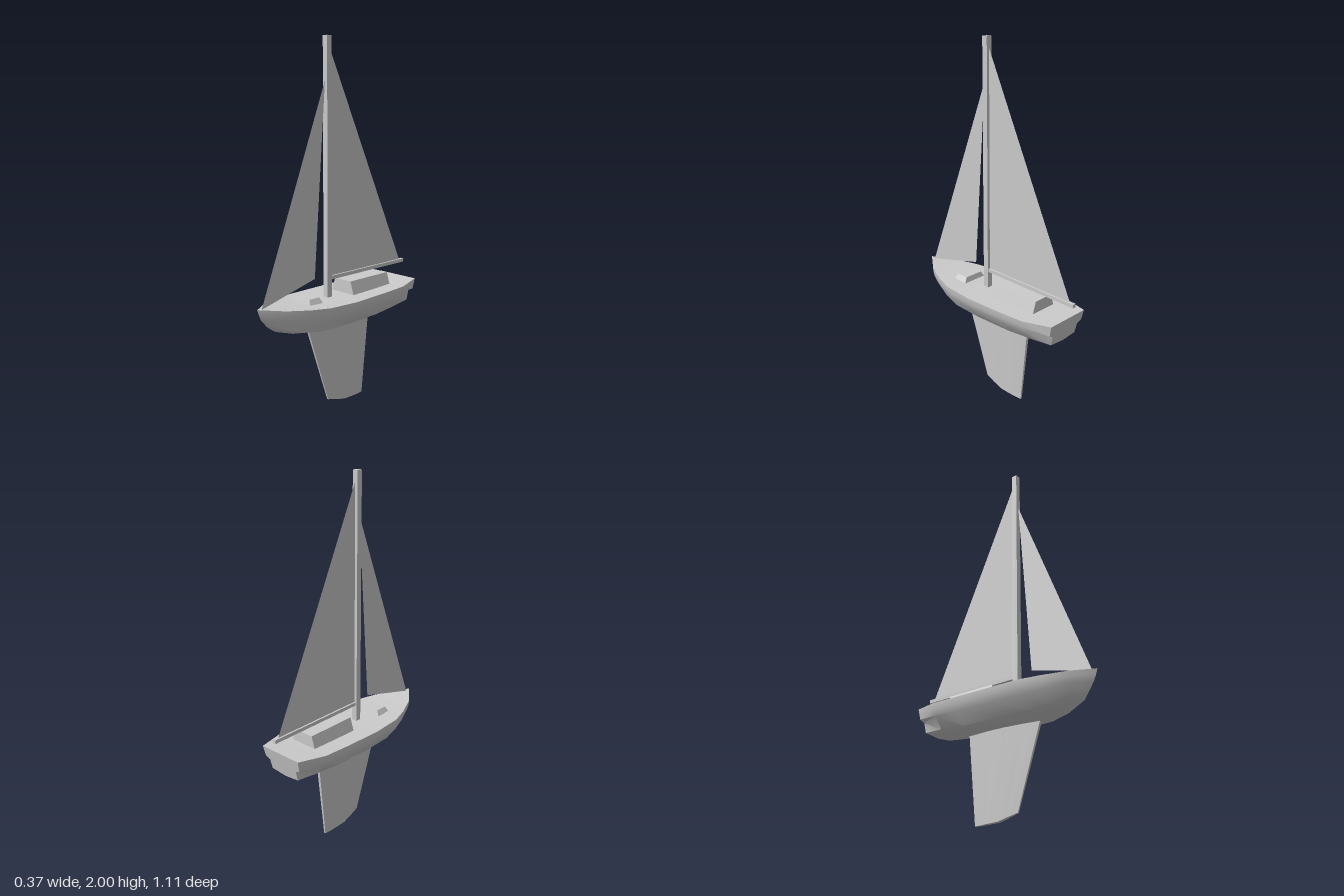
import * as THREE from 'three';
import { mergeGeometries, toCreasedNormals } from 'three/addons/utils/BufferGeometryUtils.js';

// Surface through rows of [x, y, z] points; it faces (row step) x (column step).
function surface(rows) {
  const n = rows[0].length;
  const index = [];
  for (let i = 0; i < rows.length - 1; i++) {
    for (let j = 0; j < n - 1; j++) {
      const a = i * n + j, b = a + n;
      index.push(a, b, a + 1, a + 1, b, b + 1);
    }
  }
  const g = new THREE.BufferGeometry();
  g.setAttribute('position', new THREE.Float32BufferAttribute(rows.flat(2), 3));
  g.setIndex(index);
  return g;
}

const mirrorX = ([x, y, z]) => [-x, y, z];
const smooth = (parts, angle) => toCreasedNormals(mergeGeometries(parts), angle);

// Box standing on y0 whose top is narrowed by the factors kx and kz.
function taperedBox(w, h, d, kx, kz, y0, z) {
  const g = new THREE.BoxGeometry(w, h, d);
  const p = g.attributes.position;
  for (let i = 0; i < p.count; i++) {
    if (p.getY(i) > 0) p.setXYZ(i, p.getX(i) * kx, p.getY(i), p.getZ(i) * kz);
  }
  g.translate(0, y0 + h / 2, z);
  g.computeVertexNormals();
  return g;
}

function hullGeometry() {
  // Stations: z, half width, sheer height, keel height
  const stations = [
    [-0.36, 0.175, 0.635, 0.48],
    [-0.2, 0.181, 0.63, 0.464],
    [0.03, 0.186, 0.626, 0.459],
    [0.21, 0.175, 0.629, 0.46],
    [0.32, 0.142, 0.634, 0.476],
    [0.44, 0.088, 0.643, 0.515],
  ];
  // Section from sheer to keel: width fraction, depth fraction
  const section = [[1, 0], [0.98, 0.2], [0.89, 0.42], [0.62, 0.83], [0, 1]];
  const halves = stations.map(([z, w, top, keel]) =>
    section.map(([f, t]) => [w * f, top + (keel - top) * t, z]));

  // Raked, stepped transom and raked stem close the ends
  const transom = [
    [0.13, 0.645, -0.517], [0.125, 0.585, -0.504], [0.097, 0.572, -0.501],
    [0.094, 0.515, -0.488], [0, 0.505, -0.486],
  ];
  const stem = [
    [0, 0.655, 0.553], [0, 0.63, 0.545], [0, 0.595, 0.53], [0, 0.552, 0.492], [0, 0.53, 0.462],
  ];
  halves.unshift(transom);
  halves.push(stem);

  const skin = halves.map(h => [...h, ...h.slice(0, -1).reverse().map(mirrorX)]);
  const deck = halves.map(h => [mirrorX(h[0]), h[0]]);
  const stern = transom.map(p => [p, mirrorX(p)]);
  return smooth([surface(skin), surface(deck), surface(stern)], 0.7);
}

function keelGeometry() {
  // Chord fraction from leading to trailing edge, thickness fraction, tip height
  const chord = [[0, 0.3, 0.035], [0.22, 0.72, 0.02], [0.44, 1, 0.005], [0.7, 0.9, 0.002], [0.88, 0.65, 0], [1, 0.35, 0]];
  const level = (lead, trail, half, height) =>
    chord.map(([u, t, tip]) => [half * t, height ?? tip, lead + (trail - lead) * u]);
  const root = level(0.22, -0.247, 0.026, 0.48);
  const tip = level(0.07, -0.2, 0.014);
  const ring = side => [...side, ...side.map(mirrorX).reverse(), side[0]];
  return smooth([surface([ring(root), ring(tip)]), surface(tip.map(p => [mirrorX(p), p]))], 0.6);
}

// Flat sail in the centre plane from three [z, y] corners
function sailGeometry(corners) {
  const g = new THREE.BufferGeometry();
  g.setAttribute('position', new THREE.Float32BufferAttribute(corners.flatMap(([z, y]) => [0, y, z]), 3));
  g.setIndex([0, 1, 2]);
  g.computeVertexNormals();
  return g;
}

export function createModel() {
  const model = new THREE.Group();
  model.name = 'sailboat';
  const grey = new THREE.MeshStandardMaterial({ color: 0xcccccc });
  const cloth = new THREE.MeshStandardMaterial({ color: 0xcccccc, side: THREE.DoubleSide });
  const add = (name, geometry, material = grey) => {
    const mesh = new THREE.Mesh(geometry, material);
    mesh.name = name;
    model.add(mesh);
  };

  // Hull and fin
  add('hull', hullGeometry());
  add('keelFin', keelGeometry());

  // Deck structures
  add('cabin', taperedBox(0.17, 0.08, 0.3, 0.7, 1, 0.62, -0.198));
  add('foredeckHatch', taperedBox(0.15, 0.03, 0.09, 0.74, 0.78, 0.627, 0.219));

  // Spars
  add('mast', new THREE.BoxGeometry(0.032, 1.38, 0.032).translate(0, 1.31, 0.067));
  add('boom', new THREE.BoxGeometry(0.02, 0.02, 0.61).translate(0, 0.73, -0.248));

  // Sails
  add('mainsail', sailGeometry([[0.052, 1.945], [0.052, 0.738], [-0.525, 0.738]]), cloth);
  add('jib', sailGeometry([[0.084, 1.775], [0.525, 0.65], [0.162, 0.742]]), cloth);
  return model;
}
